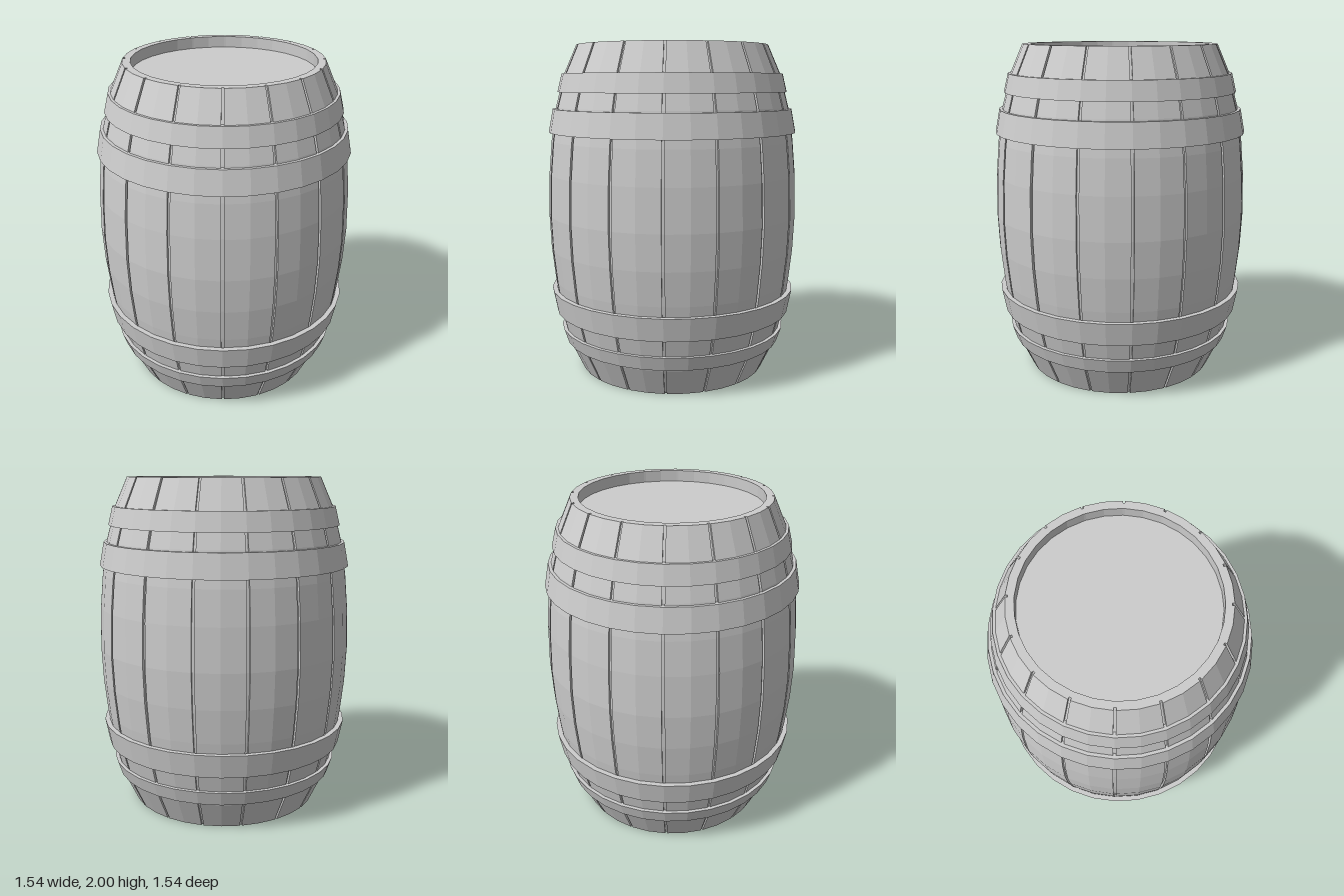
import * as THREE from 'three';

const STAVES = 16;
const material = new THREE.MeshStandardMaterial({ color: 0xcccccc, flatShading: true });

// Sweeps a grooved stave outline through rows of [radius, y, groove depth].
function grooved(rows) {
  const half = Math.PI / STAVES, gap = 0.011;
  const outline = []; // [angle, 1 when on the groove floor]
  for (let s = 0; s < STAVES; s++) {
    const a = s * 2 * half;
    outline.push([a - half + gap, 0], [a, 0], [a + half - gap, 0], [a + half - gap, 1], [a + half + gap, 1]);
  }
  const n = outline.length, positions = [], index = [];
  rows.forEach(([r, y, depth]) => {
    for (const [a, low] of outline) {
      const radius = r - low * depth;
      positions.push(radius * Math.sin(a), y, radius * Math.cos(a));
    }
  });
  for (let j = 0; j < rows.length - 1; j++) {
    for (let i = 0; i < n; i++) {
      const k = (i + 1) % n;
      const a = j * n + i, b = j * n + k, c = b + n, d = a + n;
      index.push(a, b, c, a, c, d);
    }
  }
  const geometry = new THREE.BufferGeometry();
  geometry.setAttribute('position', new THREE.Float32BufferAttribute(positions, 3));
  geometry.setIndex(index);
  geometry.computeVertexNormals();
  return geometry;
}

// Conical metal band with a closed section.
function hoopGeometry(y0, r0, y1, r1) {
  const t = 0.03;
  const section = [[r0, y0], [r1, y1], [r1 - t, y1], [r0 - t, y0], [r0, y0]];
  return new THREE.LatheGeometry(section.map(([r, y]) => new THREE.Vector2(r, y)), STAVES * 2);
}

export function createModel() {
  const barrel = new THREE.Group();
  barrel.name = 'barrel';
  const add = (name, geometry) => {
    const mesh = new THREE.Mesh(geometry, material);
    mesh.name = name;
    barrel.add(mesh);
    return mesh;
  };

  // Bulging staves with bottom, rim and inner rim wall
  const bulge = [
    [0.577, 0], [0.657, 0.17], [0.708, 0.37], [0.738, 0.57], [0.759, 0.77], [0.768, 0.98],
    [0.76, 1.23], [0.742, 1.43], [0.711, 1.63], [0.657, 1.83], [0.582, 2],
  ].map(([r, y]) => [r, y, 0.014]);
  add('staves', grooved([[0, 0, 0], ...bulge, [0.535, 2, 0], [0.535, 1.9, 0]]));

  // Recessed lid
  add('lid', new THREE.CylinderGeometry(0.537, 0.537, 0.03, STAVES * 2)).position.y = 1.918;

  // Hoops, from the bottom up
  add('lowerEndHoop', hoopGeometry(0.18, 0.675, 0.265, 0.703));
  add('lowerWideHoop', hoopGeometry(0.37, 0.733, 0.51, 0.76));
  add('upperWideHoop', hoopGeometry(1.48, 0.758, 1.62, 0.731));
  add('upperEndHoop', hoopGeometry(1.72, 0.7, 1.83, 0.673));

  return barrel;
}
